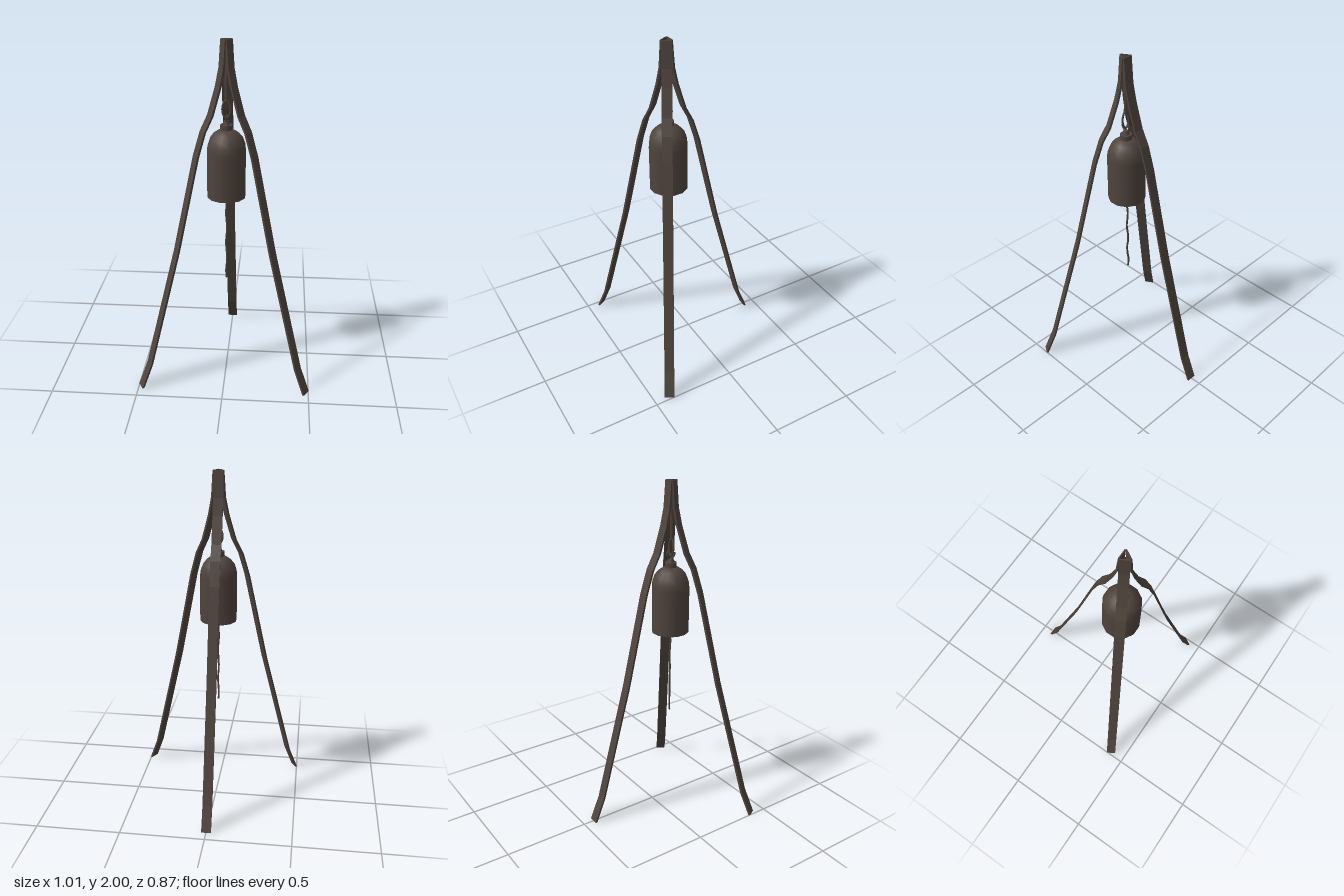
import * as THREE from 'three';

const AXIS_Z = 0.1287; // all parts hang around this vertical axis

export function createModel() {
  const model = new THREE.Group();
  const iron = new THREE.MeshStandardMaterial({ color: 0x4f443d, side: THREE.DoubleSide });
  iron.name = 'dark iron';

  const rig = new THREE.Group();
  rig.name = 'bellTripod';
  rig.position.z = AXIS_Z;
  model.add(rig);

  const add = (name, geometry, parent = rig) => {
    const mesh = new THREE.Mesh(geometry, iron);
    mesh.name = name;
    parent.add(mesh);
    return mesh;
  };
  const tube = (points, radius, segments, closed = false) => new THREE.TubeGeometry(
    new THREE.CatmullRomCurve3(points.map(p => new THREE.Vector3(...p)), closed),
    segments, radius, 6, closed);

  // Three bent flat-bar legs: outer edge as [radius, height], given a thickness inward
  const outer = [[0.022, 2], [0.033, 1.85], [0.055, 1.75], [0.102, 1.6], [0.147, 1.515],
    [0.19, 1.38], [0.316, 0.84], [0.505, 0.145], [0.565, 0]];
  const inner = outer.map(([r, y], i) => [r - (i === 0 ? 0.006 : 0.012), y]).reverse();
  const width = 0.057;
  const legShape = new THREE.Shape([...outer, ...inner].map(p => new THREE.Vector2(...p)));
  const legGeometry = new THREE.ExtrudeGeometry(legShape, { depth: width, bevelEnabled: false });
  legGeometry.translate(0, 0, -width / 2);
  ['backLeg', 'leftLeg', 'rightLeg'].forEach((name, i) => {
    add(name, legGeometry).rotation.y = Math.PI / 2 - i * Math.PI * 2 / 3;
  });

  // Hanging rope with a long eye at its lower end
  add('hangingRope', tube([[0, 1.97, 0], [0.003, 1.87, -0.001], [-0.002, 1.77, 0.002], [0, 1.67, 0.003]], 0.009, 16));
  add('ropeEye', tube([[0, 1.68, 0.003], [0.02, 1.645, 0.003], [0.019, 1.6, 0.001], [0, 1.575, 0],
    [-0.019, 1.6, 0.001], [-0.02, 1.645, 0.003]], 0.006, 24, true));

  // Open hook on the bell crown
  const hook = add('hook', new THREE.TorusGeometry(0.026, 0.006, 6, 18, Math.PI * 1.4));
  hook.position.y = 1.587;
  hook.rotation.set(0, Math.PI / 2, Math.PI * 0.95, 'YXZ');
  const crown = add('crown', new THREE.CylinderGeometry(0.034, 0.034, 0.034, 12));
  crown.position.y = 1.522;
  const knob = add('crownKnob', new THREE.CylinderGeometry(0.014, 0.022, 0.024, 8));
  knob.position.y = 1.55;

  // Hollow bell: smooth outer and inner walls, joined by a flat rim
  const R = 0.1097;
  const wall = [[R, 1.12], [R, 1.39], [0.106, 1.425], [0.093, 1.462], [0.07, 1.49], [0.04, 1.51], [0, 1.515]];
  const lathe = points => new THREE.LatheGeometry(points.map(p => new THREE.Vector2(...p)), 12, Math.PI / 12);
  const bell = new THREE.Group();
  bell.name = 'bell';
  rig.add(bell);
  add('bellOuterWall', lathe(wall), bell);
  add('bellInnerWall', lathe(wall.map(([r, y], i) => [r * 0.9, i ? y - 0.012 : y]).reverse()), bell);
  add('bellRim', lathe([[R * 0.9, 1.12], [R, 1.12]]), bell);

  // Clapper rod, its ring and the wavy pull rope
  const rod = add('clapperRod', new THREE.CylinderGeometry(0.007, 0.007, 0.36, 6));
  rod.position.y = 1.325;
  const ring = add('clapperRing', new THREE.TorusGeometry(0.023, 0.007, 6, 16));
  ring.position.y = 1.12;
  const pull = [];
  for (let i = 0; i <= 10; i++) {
    pull.push([0.003 * Math.cos(i * 1.7), 1.11 - i * 0.051, 0.003 * Math.sin(i * 1.9)]);
  }
  add('pullRope', tube(pull, 0.006, 40));

  return model;
}
